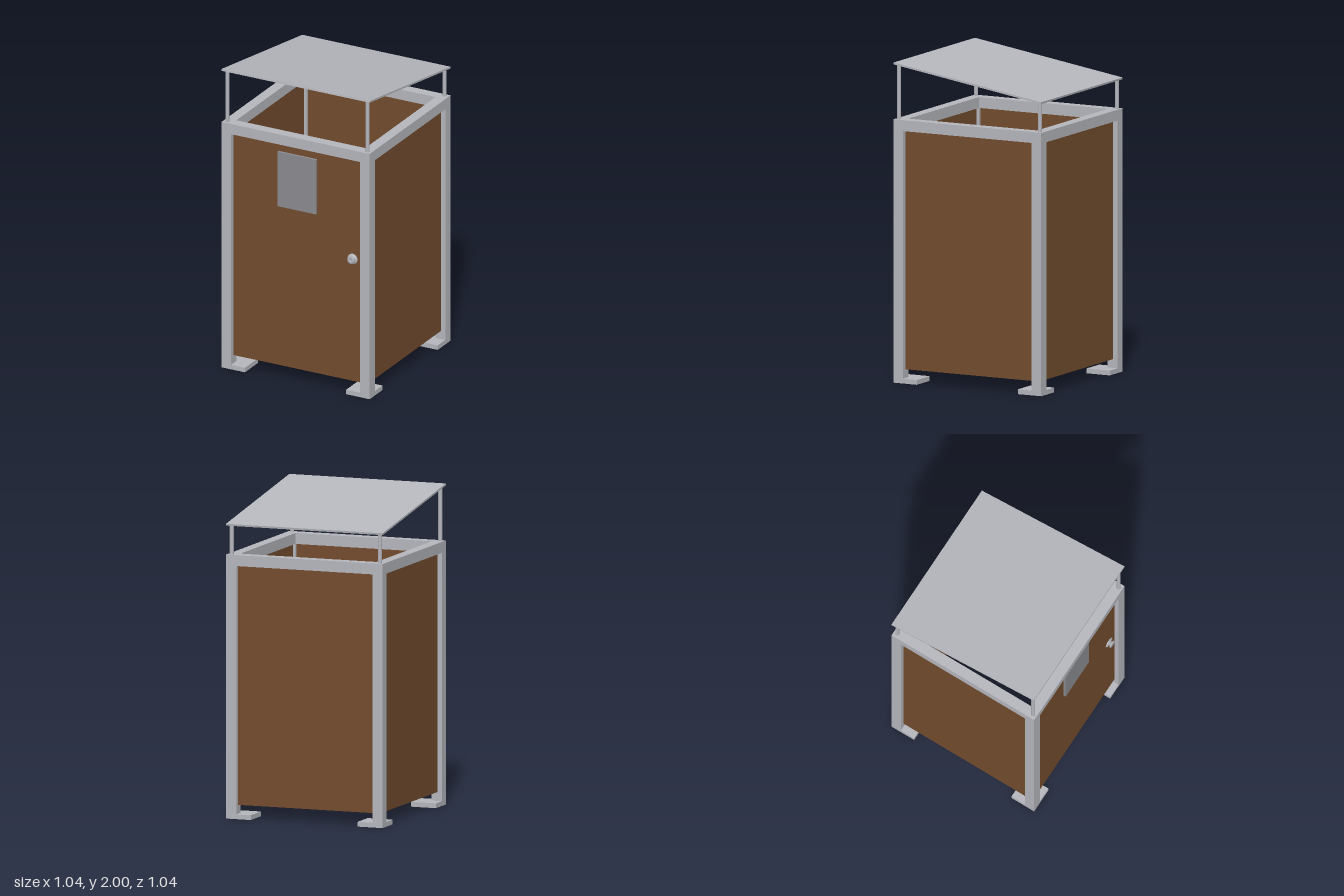
import * as THREE from 'three';

export function createModel() {
  const model = new THREE.Group();
  const material = (name, color) => {
    const m = new THREE.MeshStandardMaterial({ color });
    m.name = name;
    return m;
  };
  const metal = material('light grey metal', 0xb6b7bd);
  const wood = material('brown panel', 0x734c2e);
  const glass = material('window grey', 0x8a8b90);

  const add = (name, geometry, mat, x, y, z, parent = model) => {
    const mesh = new THREE.Mesh(geometry, mat);
    mesh.name = name;
    mesh.position.set(x, y, z);
    parent.add(mesh);
    return mesh;
  };
  const box = (name, w, h, d, mat, x, y, z, parent) =>
    add(name, new THREE.BoxGeometry(w, h, d), mat, x, y, z, parent);

  const half = 0.52, bar = 0.068, top = 1.645;
  const postAt = half - bar / 2;
  const railBottom = top - bar;
  const inner = half - bar;
  const panelBottom = 0.085;

  // Sloping roof sheet
  const slope = 0.156;
  const roofY = 1.9125;
  const roof = box('roof', 1.04, 0.012, 1.051, metal, 0, roofY, 0);
  roof.rotation.x = -slope;

  for (const sx of [-1, 1]) {
    for (const sz of [-1, 1]) {
      // Corner post
      box('cornerPost', bar, railBottom - 0.02, bar, metal, sx * postAt, (railBottom + 0.02) / 2, sz * postAt);

      // Foot: thin top plate over a hollow rim
      const foot = new THREE.Group();
      foot.name = 'foot';
      const size = 0.165, rim = 0.015, rimH = 0.022;
      foot.position.set(sx * (half - size / 2), 0, sz * (half - size / 2));
      box('footPlate', size, 0.008, size, metal, 0, 0.026, 0, foot);
      for (const s of [-1, 1]) {
        box('footRim', size, rimH, rim, metal, 0, rimH / 2, s * (size - rim) / 2, foot);
        box('footRim', rim, rimH, size - 2 * rim, metal, s * (size - rim) / 2, rimH / 2, 0, foot);
      }
      model.add(foot);

      // Slim roof support
      const z = sz * 0.495;
      const supportTop = roofY + z * Math.tan(slope);
      add('roofSupport', new THREE.CylinderGeometry(0.0125, 0.0125, supportTop - top, 16),
        metal, sx * 0.492, (supportTop + top) / 2, z);
    }

    // Top frame rails
    box('topRail', 2 * half, bar, bar, metal, 0, top - bar / 2, sx * postAt);
    box('topRail', bar, bar, 2 * inner, metal, sx * postAt, top - bar / 2, 0);

    // Recessed wall panels, the front one being the door
    const h = railBottom - panelBottom, y = (railBottom + panelBottom) / 2;
    box(sx > 0 ? 'door' : 'backPanel', 2 * inner, h, 0.02, wood, 0, y, sx * 0.48);
    box('sidePanel', 0.02, h, 2 * inner, wood, sx * 0.48, y, 0);
  }

  // Door window
  box('window', 0.27, 0.365, 0.018, glass, 0, 1.337, 0.497);

  // Round door knob with a small dimple
  const profile = [[0.034, 0], [0.034, 0.006], [0.016, 0.01], [0.016, 0.016],
    [0.025, 0.02], [0.025, 0.026], [0.02, 0.029], [0.008, 0.029], [0.006, 0.025], [0, 0.025]]
    .map(([r, y]) => new THREE.Vector2(r, y));
  const knob = add('doorKnob', new THREE.LatheGeometry(profile, 24), metal, 0.385, 0.903, 0.49);
  knob.rotation.x = Math.PI / 2;

  return model;
}
